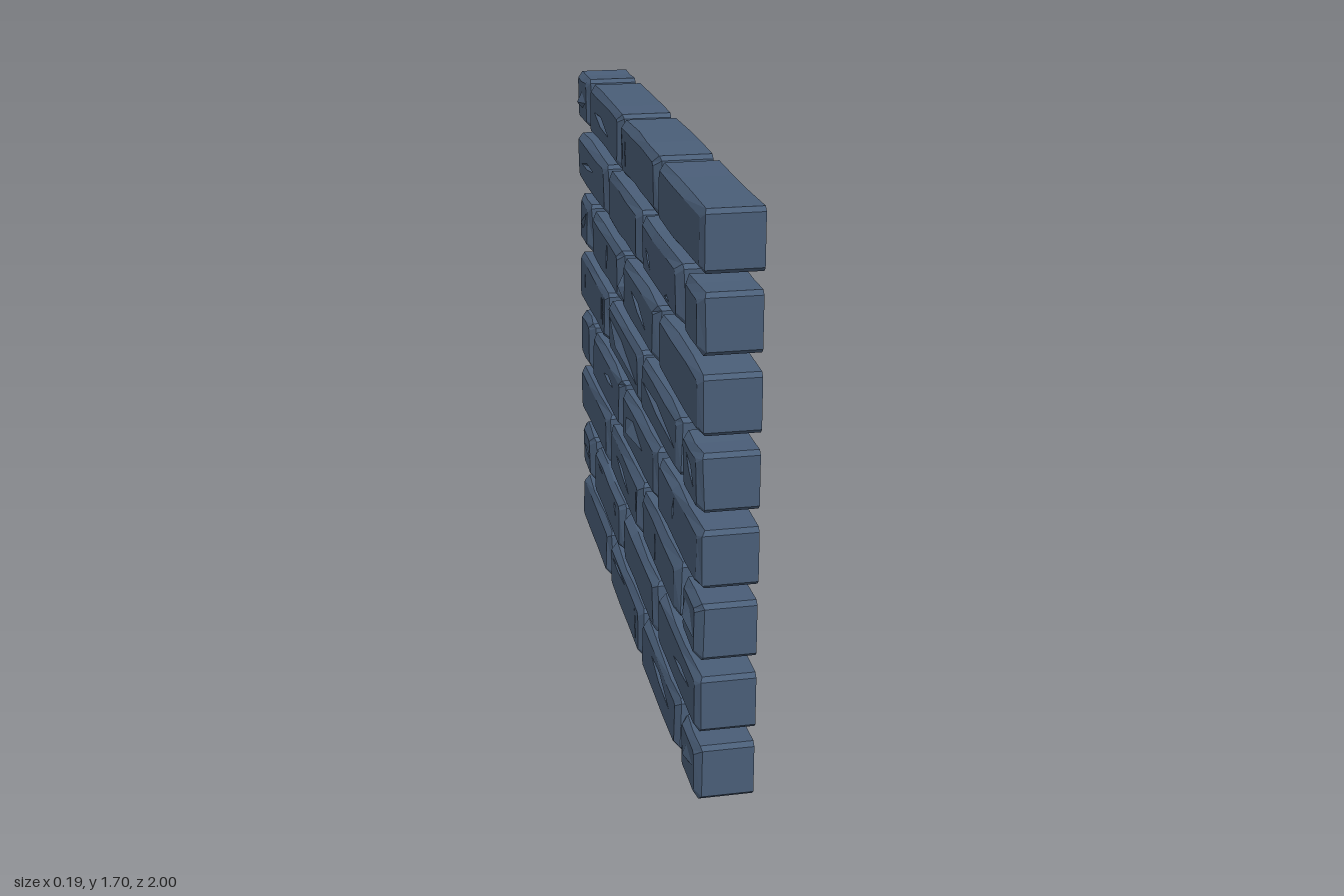
import * as THREE from 'three';

const stone = new THREE.MeshStandardMaterial({ color: 0x4a5e78, flatShading: true, side: THREE.DoubleSide });
stone.name = 'slate blue stone';

const BACK = 0.096, SHOULDER = -0.055, FACE = -0.073;
const HEIGHT = 0.168, PITCH = 0.2175;

// z ranges of the bricks in the two alternating courses
const COURSES = [
  [[0.8, 0.995], [0.195, 0.73], [-0.39, 0.15], [-1, -0.455]],
  [[0.46, 1], [-0.13, 0.4], [-0.725, -0.19], [-0.993, -0.8]],
];

// chips per brick 'course-index': [z1, y1, z2, y2, half width, depth (negative bulges out)]
const CHIPS = {
  '0-0': [[0.96, 0.1, 0.83, 0.09, 0.03, -0.012]],
  '0-1': [[0.63, 0.09, 0.36, 0.125, 0.022, 0.02]],
  '0-2': [[0.085, 0.04, 0.07, 0.15, 0.01, 0.012], [-0.1, 0.14, -0.35, 0.13, 0.012, 0.012]],
  '1-0': [[0.91, 0.32, 0.7, 0.305, 0.014, 0.015]],
  '1-2': [[-0.27, 0.31, -0.31, 0.37, 0.015, 0.018], [-0.54, 0.36, -0.64, 0.37, 0.012, 0.018]],
  '1-3': [[-0.83, 0.3, -0.95, 0.32, 0.014, 0.01]],
  '2-0': [[0.96, 0.5, 0.84, 0.56, 0.03, -0.018]],
  '2-1': [[0.41, 0.46, 0.42, 0.57, 0.014, 0.016]],
  '2-2': [[-0.02, 0.505, -0.26, 0.545, 0.016, 0.02], [0.12, 0.49, 0.11, 0.57, 0.01, 0.014]],
  '3-0': [[0.69, 0.83, 0.675, 0.72, 0.012, 0.016]],
  '3-1': [[0.21, 0.745, -0.06, 0.755, 0.035, -0.024]],
  '3-2': [[-0.32, 0.76, -0.49, 0.755, 0.014, 0.02]],
  '4-0': [[0.94, 0.93, 0.86, 1, 0.02, 0.012]],
  '4-1': [[0.71, 0.945, 0.215, 0.975, 0.022, 0.02]],
  '4-2': [[0.13, 0.925, -0.36, 0.995, 0.022, -0.02]],
  '4-3': [[-0.5, 0.9, -0.505, 1.03, 0.01, 0.014], [-0.54, 0.9, -0.535, 1.03, 0.01, 0.014], [-0.88, 0.92, -0.89, 1, 0.01, 0.012]],
  '5-1': [[0.27, 1.15, 0.03, 1.2, 0.02, 0.022], [-0.09, 1.13, -0.1, 1.22, 0.012, -0.02]],
  '5-2': [[-0.405, 1.24, -0.425, 1.14, 0.014, 0.018]],
  '5-3': [[-0.85, 1.22, -0.92, 1.15, 0.022, -0.012]],
  '6-1': [[0.61, 1.33, 0.55, 1.34, 0.012, 0.016], [0.33, 1.35, 0.27, 1.4, 0.016, 0.02]],
  '6-3': [[-0.68, 1.405, -0.91, 1.385, 0.014, 0.018]],
  '7-1': [[-0.05, 1.55, -0.055, 1.68, 0.009, 0.014], [-0.1, 1.55, -0.105, 1.68, 0.009, 0.014]],
  '7-2': [[-0.37, 1.59, -0.63, 1.62, 0.022, 0.022]],
  '7-3': [[-0.84, 1.61, -0.95, 1.6, 0.035, -0.018]],
};

function seeded(seed) {
  let s = seed * 7919 + 17;
  return () => {
    s = (s * 16807) % 2147483647;
    return (s / 2147483647) * 2 - 1;
  };
}

// Counter-clockwise brick outline in (z, y): cut corners and uneven long edges
function outline(z0, z1, y0, y1, cut, wobble, rand) {
  const pts = [];
  const steps = z1 - z0 > 0.3 ? [0.34, 0.67] : [0.5];
  const add = (z, y) => pts.push(new THREE.Vector2(z, y));
  const mix = (t) => z0 + (z1 - z0) * (t + rand() * 0.08);
  add(z0 + cut, y0);
  steps.forEach((t) => add(mix(t), y0 + rand() * wobble));
  add(z1 - cut, y0);
  add(z1, y0 + cut);
  add(z1, y1 - cut);
  add(z1 - cut, y1);
  steps.slice().reverse().forEach((t) => add(mix(t), y1 + rand() * wobble));
  add(z0 + cut, y1);
  add(z0, y1 - cut);
  add(z0, y0 + cut);
  return pts;
}

// Hollow brick, open on +x, with bevelled and chipped face on -x
function brickGeometry(z0, z1, y0, chips, seed) {
  const rand = seeded(seed);
  for (let i = 0; i < 5; i++) rand();
  const y1 = y0 + HEIGHT, cz = (z0 + z1) / 2, cy = (y0 + y1) / 2;
  const tiltZ = rand() * 0.005 / (z1 - z0), tiltY = rand() * 0.03;
  const faceX = (p) => FACE + (p.x - cz) * tiltZ + (p.y - cy) * tiltY;
  const inset = 0.019 + rand() * 0.003;

  const outer = outline(z0, z1, y0, y1, 0.012, 0.005, rand);
  const inner = outer.map((p) => new THREE.Vector2(
    cz + (p.x - cz) * (1 - (2 * inset) / (z1 - z0)),
    cy + (p.y - cy) * (1 - (2 * inset) / HEIGHT) + rand() * 0.003));
  const at = (p, x) => new THREE.Vector3(x, p.y, p.x);
  const rings = [
    outer.map((p) => at(p, BACK)),
    outer.map((p) => at(p, SHOULDER + rand() * 0.006)),
    inner.map((p) => at(p, faceX(p))),
  ];

  const verts = [];
  const tri = (a, b, c) => [a, b, c].forEach((v) => verts.push(v.x, v.y, v.z));
  // side walls and bevel
  for (let r = 0; r < 2; r++) {
    outer.forEach((_, i) => {
      const j = (i + 1) % outer.length, a = rings[r], b = rings[r + 1];
      tri(a[i], a[j], b[j]);
      tri(a[i], b[j], b[i]);
    });
  }

  // chips: four-cornered slivers meeting at a raised or sunken point
  const margin = 0.03;
  const clamp = (p) => p.set(
    THREE.MathUtils.clamp(p.x, z0 + margin, z1 - margin),
    THREE.MathUtils.clamp(p.y, y0 + margin, y1 - margin));
  const holes = chips.map(([za, ya, zb, yb, w, depth]) => {
    const a = clamp(new THREE.Vector2(za, ya)), b = clamp(new THREE.Vector2(zb, yb));
    const n = new THREE.Vector2(a.y - b.y, b.x - a.x).normalize();
    const mid = a.clone().lerp(b, 0.55);
    const ring = [a, clamp(mid.clone().addScaledVector(n, w * 0.6)), b, clamp(mid.clone().addScaledVector(n, -w))];
    if (THREE.ShapeUtils.isClockWise(ring)) ring.reverse();
    const tip = at(mid, faceX(mid) + depth);
    ring.forEach((p, i) => {
      const q = ring[(i + 1) % 4];
      tri(at(p, faceX(p)), at(q, faceX(q)), tip);
    });
    return ring.reverse();
  });

  // face around the chips
  const all = [...inner, ...holes.flat()].map((p) => at(p, faceX(p)));
  THREE.ShapeUtils.triangulateShape(inner, holes).forEach(([a, b, c]) => tri(all[a], all[b], all[c]));

  const geo = new THREE.BufferGeometry();
  geo.setAttribute('position', new THREE.Float32BufferAttribute(verts, 3));
  geo.computeVertexNormals();
  return geo;
}

export function createModel() {
  const wall = new THREE.Group();
  wall.name = 'brickWall';
  for (let row = 0; row < 8; row++) {
    const course = new THREE.Group();
    course.name = `course${row + 1}`;
    COURSES[row % 2].forEach(([z0, z1], i) => {
      const geo = brickGeometry(z0, z1, row * PITCH + 0.006, CHIPS[`${row}-${i}`] || [], row * 4 + i + 1);
      const brick = new THREE.Mesh(geo, stone);
      brick.name = z1 - z0 > 0.3 ? 'longBrick' : 'halfBrick';
      course.add(brick);
    });
    wall.add(course);
  }
  return wall;
}
